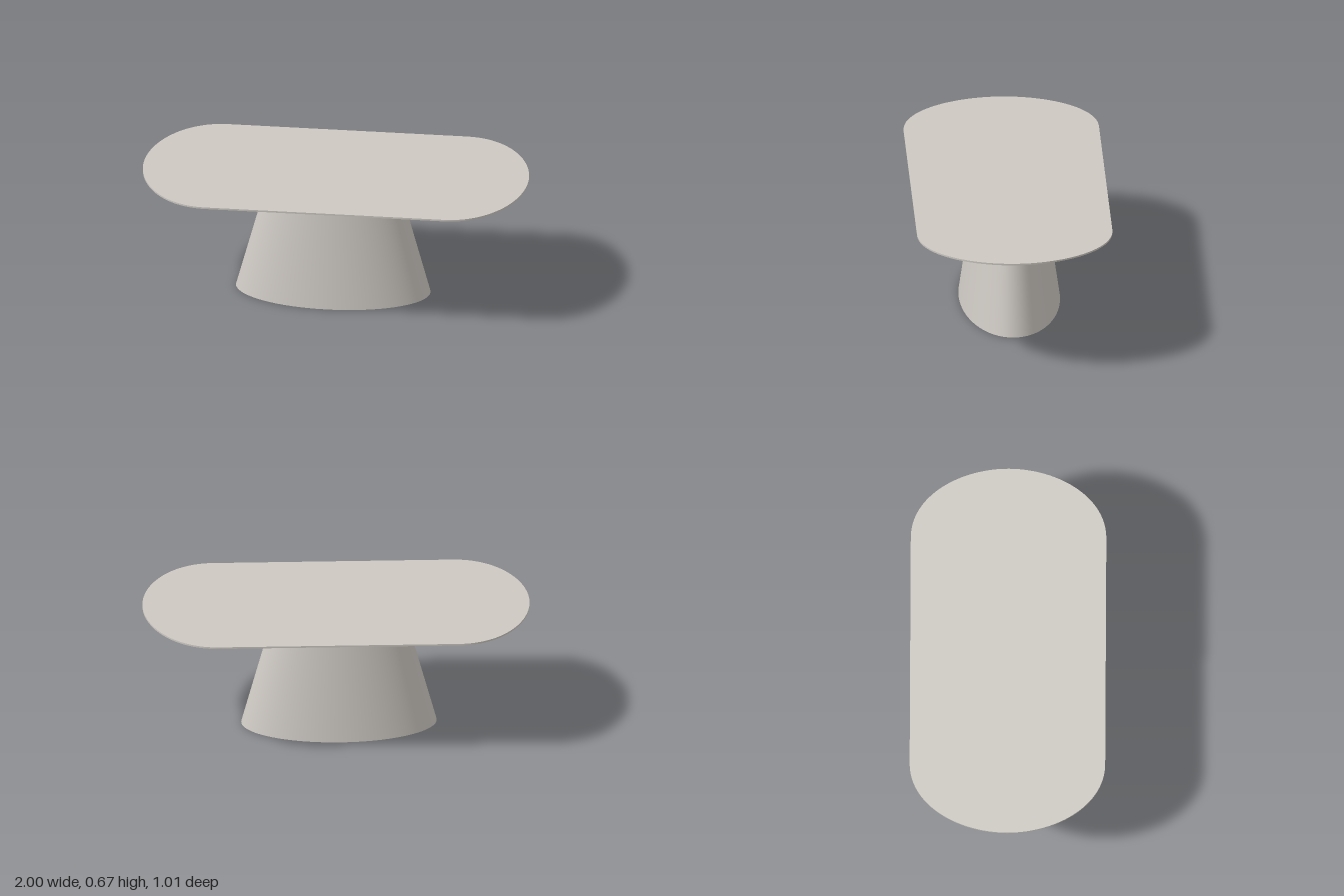
import * as THREE from 'three';

// Quarter of the tabletop outline: from the long side round to the end
const corner = new THREE.CubicBezierCurve(
  new THREE.Vector2(0.62, 0.505), new THREE.Vector2(0.85, 0.505),
  new THREE.Vector2(1, 0.25), new THREE.Vector2(1, 0));
const STEPS = 24;

// Closed outline, counterclockwise seen from above, moved inwards by inset
function outline(inset) {
  const quarter = [];
  for (let i = 0; i <= STEPS; i++) {
    const p = corner.getPoint(i / STEPS), t = corner.getTangent(i / STEPS);
    quarter.push([p.x + t.y * inset, p.y - t.x * inset]);
  }
  const half = [...quarter, ...quarter.slice(0, -1).reverse().map(([x, z]) => [x, -z])];
  return [...half, ...half.map(([x, z]) => [-x, -z])];
}

const ring = (inset, y) => outline(inset).map(([x, z]) => [x, y, z]);

// Smooth wall between two rings
function band(lower, upper) {
  const n = lower.length, index = [];
  for (let i = 0; i < n; i++) {
    const j = (i + 1) % n;
    index.push(i, j, n + j, i, n + j, n + i);
  }
  return build([...lower, ...upper], index);
}

// Flat face filling a ring
function cap(points, up) {
  const n = points.length, index = [];
  for (let i = 0; i < n; i++) {
    const j = (i + 1) % n;
    index.push(n, up ? i : j, up ? j : i);
  }
  return build([...points, [0, points[0][1], 0]], index);
}

function build(points, index) {
  const g = new THREE.BufferGeometry();
  g.setAttribute('position', new THREE.Float32BufferAttribute(points.flat(), 3));
  g.setIndex(index);
  g.computeVertexNormals();
  return g;
}

export function createModel() {
  const model = new THREE.Group();
  model.name = 'table';
  const stone = new THREE.MeshStandardMaterial({ color: 0xcdc8c2 });
  stone.name = 'warm grey';
  const add = (parent, name, geometry) => {
    const mesh = new THREE.Mesh(geometry, stone);
    mesh.name = name;
    parent.add(mesh);
    return mesh;
  };

  // Tabletop: thin lip with a wide bevel underneath
  const tabletop = new THREE.Group();
  tabletop.name = 'tabletop';
  model.add(tabletop);
  const bottom = ring(0.08, 0.627), lip = ring(0, 0.658), top = ring(0, 0.667);
  add(tabletop, 'topSurface', cap(top, true));
  add(tabletop, 'lip', band(lip, top));
  add(tabletop, 'bevel', band(bottom, lip));
  add(tabletop, 'underside', cap(bottom, false));

  // Pedestal: tapered oval column, slightly off centre
  const column = new THREE.CylinderGeometry(0.335, 0.505, 0.627, 96);
  column.scale(1, 1, 0.518);
  add(model, 'pedestal', column).position.set(-0.015, 0.3135, -0.007);

  return model;
}
